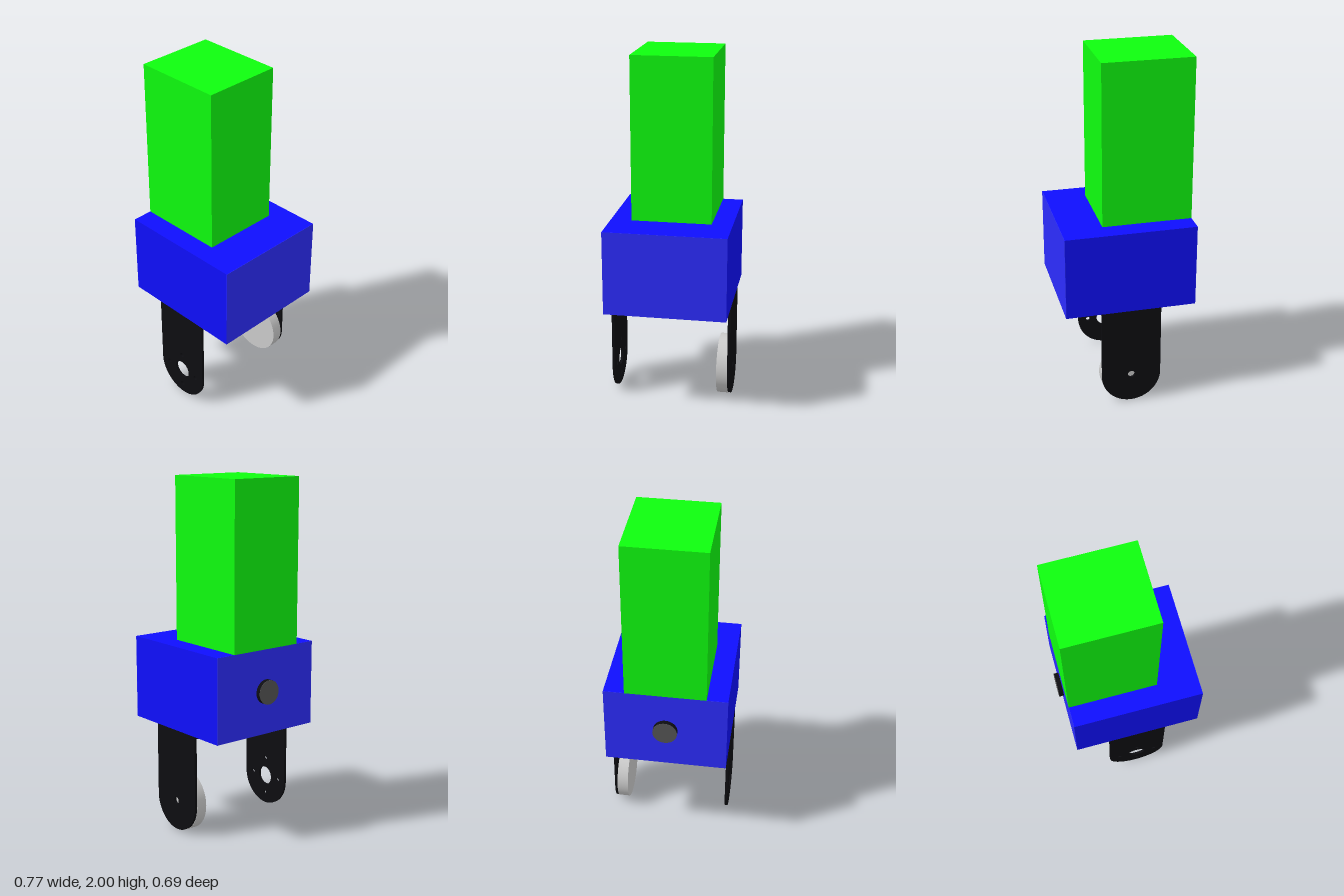
import * as THREE from 'three';

const paint = (color) => new THREE.MeshStandardMaterial({ color });
const green = paint(0x0ffd0f);
const blue = paint(0x0f0ffd);
const paleBlue = paint(0x2c2cfd);
const black = paint(0x0d0d11);
const darkGrey = paint(0x555555);
const grey = paint(0xcccccc);

// Box given by its min and max corners
function box(name, [x0, y0, z0], [x1, y1, z1], material) {
  const mesh = new THREE.Mesh(new THREE.BoxGeometry(x1 - x0, y1 - y0, z1 - z0), material);
  mesh.position.set((x0 + x1) / 2, (y0 + y1) / 2, (z0 + z1) / 2);
  mesh.name = name;
  return mesh;
}

const AXLE_X = 0.012, AXLE_Y = 0.174, R = 0.172;
const TOP = 0.592, THICK = 0.015, HALF_Z = 0.345;

// Round-ended bracket arm with holes listed as [dx, dy, radius] from the axle
function arm(name, z, holes) {
  const shape = new THREE.Shape();
  shape.moveTo(-R, TOP - AXLE_Y);
  shape.lineTo(-R, 0);
  shape.absarc(0, 0, R, Math.PI, 2 * Math.PI, false);
  shape.lineTo(R, TOP - AXLE_Y);
  shape.closePath();
  for (const [dx, dy, r] of holes) {
    const hole = new THREE.Path();
    hole.absarc(dx, dy, r, 0, 2 * Math.PI, true);
    shape.holes.push(hole);
  }
  const geometry = new THREE.ExtrudeGeometry(shape, { depth: THICK, bevelEnabled: false, curveSegments: 32 });
  const mesh = new THREE.Mesh(geometry, black);
  mesh.position.set(AXLE_X, AXLE_Y, z);
  mesh.name = name;
  return mesh;
}

function disc(name, radius, depth, material) {
  const mesh = new THREE.Mesh(new THREE.CylinderGeometry(radius, radius, depth, 48), material);
  mesh.name = name;
  return mesh;
}

export function createModel() {
  const model = new THREE.Group();

  // Upright block and housing with paler end panels
  model.add(box('upperBlock', [-0.36, 1.073, -0.227], [0.151, 2, 0.227], green));
  const housing = new THREE.Group();
  housing.name = 'housing';
  housing.add(
    box('housingBody', [-0.358, TOP, -HALF_Z], [0.384, 1.073, HALF_Z], blue),
    box('rightPanel', [-0.36, TOP, -HALF_Z], [-0.358, 1.073, HALF_Z], paleBlue),
    box('leftPanel', [0.384, TOP, -HALF_Z], [0.386, 1.073, HALF_Z], paleBlue),
  );
  model.add(housing);

  // Round button on the right side
  const button = new THREE.Group();
  button.name = 'sideButton';
  const rim = disc('buttonRim', 0.069, 0.026, black);
  const cap = disc('buttonCap', 0.069, 0.002, darkGrey);
  cap.position.y = 0.014;
  button.add(rim, cap);
  button.rotation.z = Math.PI / 2;
  button.position.set(-0.373, 0.835, 0);
  model.add(button);

  // U-shaped bracket
  const bracket = new THREE.Group();
  bracket.name = 'bracket';
  const boltHoles = [0, 1, 2, 3].map((i) => {
    const a = (i * Math.PI) / 2;
    return [0.111 * Math.cos(a), 0.111 * Math.sin(a), 0.013];
  });
  const inner = HALF_Z - THICK;
  bracket.add(
    box('bracketBridge', [AXLE_X - R, TOP - THICK, -inner], [AXLE_X + R, TOP, inner], black),
    arm('frontArm', inner, [[0, 0, 0.055], ...boltHoles]),
    arm('backArm', -HALF_Z, [[0, 0, 0.021]]),
  );
  model.add(bracket);

  // Disc mounted inside the back arm
  const horn = disc('pivotDisc', 0.174, 0.064, grey);
  horn.rotation.x = Math.PI / 2;
  horn.position.set(AXLE_X, AXLE_Y, -0.298);
  model.add(horn);

  return model;
}
